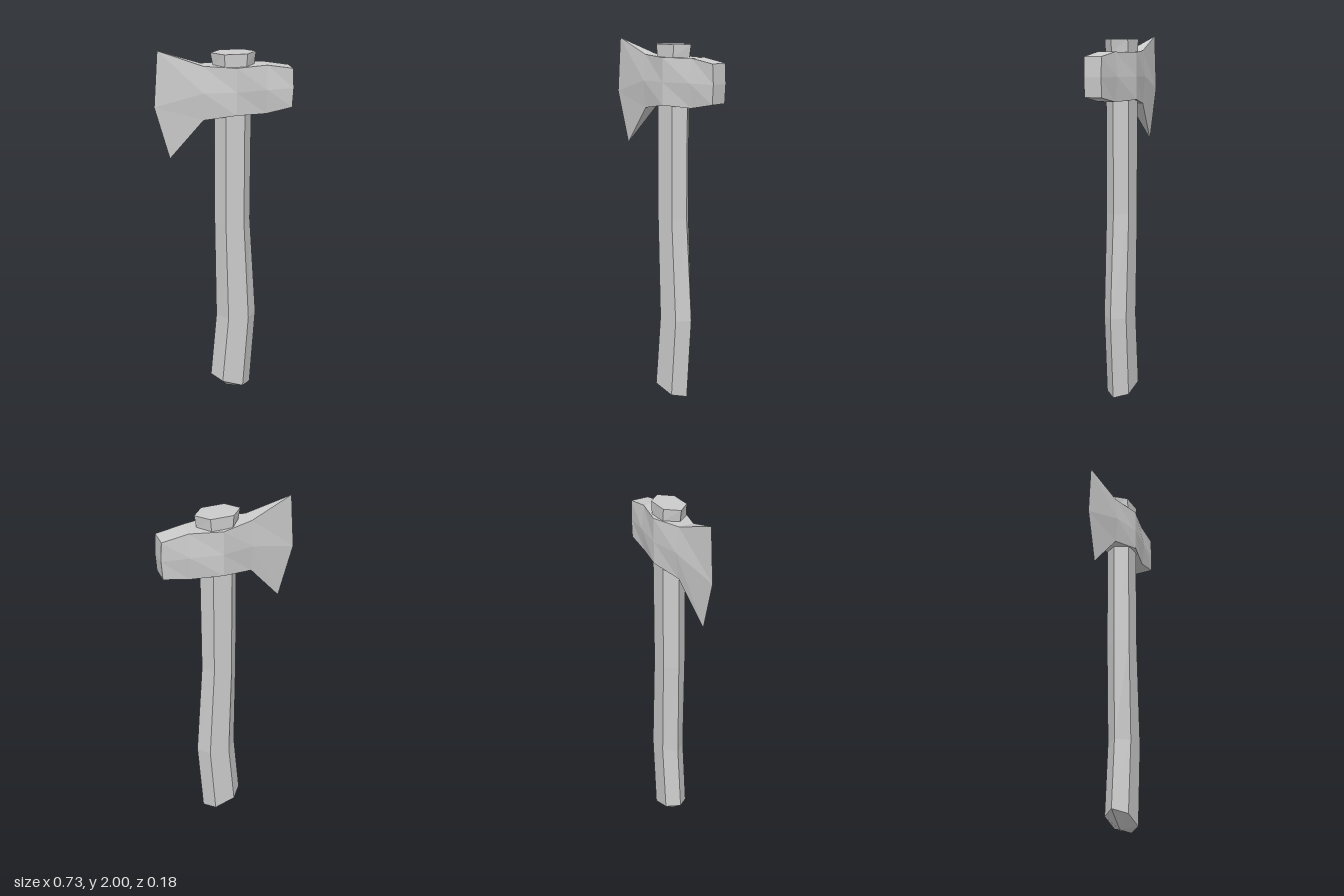
import * as THREE from 'three';

const V = (x, y, z) => new THREE.Vector3(x, y, z);

// Skin a list of rings (counter-clockwise seen from the last ring), with a
// fan cap to an optional tip point at each end.
function loft(rings, startTip, endTip) {
  const points = [];
  const tri = (a, b, c) => {
    if (new THREE.Triangle(a, b, c).getArea() > 1e-7) points.push(a, b, c);
  };
  const n = rings[0].length;
  const last = rings[rings.length - 1];
  for (let i = 0; i < n; i++) {
    const j = (i + 1) % n;
    for (let k = 0; k < rings.length - 1; k++) {
      const a = rings[k], b = rings[k + 1];
      tri(a[i], a[j], b[j]);
      tri(a[i], b[j], b[i]);
    }
    if (startTip) tri(rings[0][j], rings[0][i], startTip);
    if (endTip) tri(last[i], last[j], endTip);
  }
  const geometry = new THREE.BufferGeometry().setFromPoints(points);
  geometry.computeVertexNormals();
  return geometry;
}

export function createModel() {
  const group = new THREE.Group();
  const material = new THREE.MeshStandardMaterial({ color: 0xcccccc, flatShading: true });
  const add = (name, geometry) => {
    const mesh = new THREE.Mesh(geometry, material);
    mesh.name = name;
    group.add(mesh);
  };

  // Handle: hexagonal sections, each [x, y] for left, inner left, inner right, right
  const handleSections = [
    [[-0.075, 0.09], [-0.018, 0.07], [0.1, 0.03], [0.155, 0.015]],
    [[-0.042, 0.475], [0.016, 0.475], [0.13, 0.475], [0.185, 0.475]],
    [[-0.05, 1.05], [0, 1.05], [0.1, 1.05], [0.147, 1.05]],
    [[-0.05, 1.66], [0, 1.66], [0.1, 1.66], [0.148, 1.66]],
    [[-0.058, 1.915], [-0.005, 1.915], [0.107, 1.915], [0.162, 1.915]],
    [[-0.07, 1.98], [-0.01, 1.98], [0.112, 1.98], [0.172, 1.98]],
  ];
  const hz = 0.068;
  const handleRings = handleSections.map(([L, l, r, R]) => [
    V(...R, 0), V(...r, -hz), V(...l, -hz), V(...L, 0), V(...l, hz), V(...r, hz),
  ]);
  add('handle', loft(handleRings, V(0.02, 0.003, 0), V(0.051, 1.98, 0)));

  // Head: sections from cutting edge to butt, [x, y, half thickness] at top, middle, bottom
  const headSections = [
    [[-0.345, 2, 0], [-0.367, 1.705, 0], [-0.29, 1.423, 0]],
    [[-0.115, 1.92, 0.042], [-0.115, 1.782, 0.057], [-0.115, 1.635, 0.042]],
    [[0.052, 1.913, 0.09], [0.052, 1.785, 0.09], [0.052, 1.664, 0.09]],
    [[0.22, 1.915, 0.052], [0.22, 1.787, 0.067], [0.22, 1.658, 0.052]],
    [[0.359, 1.892, 0.05], [0.365, 1.787, 0.05], [0.359, 1.685, 0.05]],
  ];
  const headRings = headSections.map((s) => [
    ...s.map(([x, y, z]) => V(x, y, z)),
    ...s.map(([x, y, z]) => V(x, y, -z)).reverse(),
  ]);
  add('axeHead', loft(headRings, null, V(0.365, 1.787, 0)));

  return group;
}
